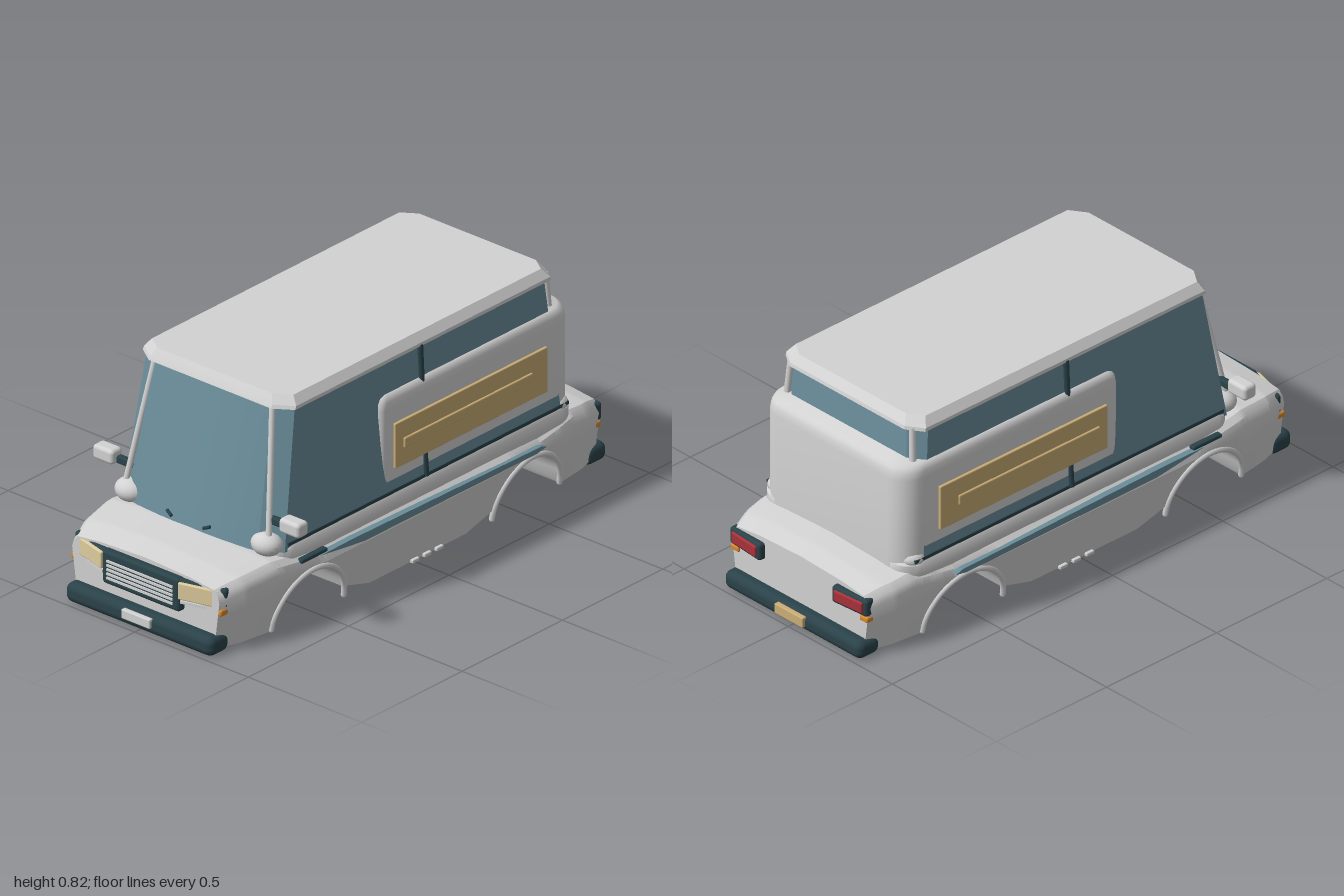
import * as THREE from 'three';
import { toCreasedNormals } from 'three/addons/utils/BufferGeometryUtils.js';
import { RoundedBoxGeometry } from 'three/addons/geometries/RoundedBoxGeometry.js';

const mat = (name, color) => {
  const m = new THREE.MeshStandardMaterial({ color });
  m.name = name;
  return m;
};
const V = (x, y, z) => new THREE.Vector3(x, y, z);

// Linear interpolation through a small table of [z, value] pairs
function lookup(table, z) {
  for (let i = 1; i < table.length; i++) {
    const [a, p] = table[i - 1], [b, q] = table[i];
    if (z <= b) return p + (q - p) * Math.max(0, (z - a) / (b - a));
  }
  return table[table.length - 1][1];
}

// Skin a closed, capped solid over rings that run counter-clockwise about the direction of travel
function loft(rings, crease = 0.5) {
  const n = rings[0].length, pos = rings.flat().flatMap(p => [p.x, p.y, p.z]), idx = [];
  for (let i = 0; i < rings.length - 1; i++) {
    for (let j = 0; j < n; j++) {
      const a = i * n + j, b = i * n + (j + 1) % n;
      idx.push(a, b, b + n, a, b + n, a + n);
    }
  }
  [0, rings.length - 1].forEach((r, end) => {
    const c = V(0, 0, 0);
    rings[r].forEach(p => c.addScaledVector(p, 1 / n));
    const k = pos.length / 3;
    pos.push(c.x, c.y, c.z);
    for (let j = 0; j < n; j++) {
      const a = r * n + j, b = r * n + (j + 1) % n;
      if (end) idx.push(k, a, b); else idx.push(k, b, a);
    }
  });
  const g = new THREE.BufferGeometry();
  g.setAttribute('position', new THREE.Float32BufferAttribute(pos, 3));
  g.setIndex(idx);
  return toCreasedNormals(g, crease);
}

// Horizontal outline with rounded (or chamfered, n = 1) corners and an optional bowed front
function plan(y, hw, zf, zb, [fx, fz], [bx, bz], n = 1, bow = 0) {
  const pts = [];
  const corner = (sx, front, a0) => {
    const rx = front ? fx : bx, rz = front ? fz : bz;
    const cx = sx * (hw - rx), cz = front ? zf - rz : zb + rz;
    for (let i = 0; i <= n; i++) {
      const a = a0 + (i / n) * Math.PI / 2;
      pts.push(V(cx + rx * Math.cos(a), y, cz - rz * Math.sin(a)));
    }
  };
  corner(1, false, 0);
  corner(-1, false, Math.PI / 2);
  corner(-1, true, Math.PI);
  for (let i = 1; i < 8; i++) {
    const t = i / 4 - 1;
    pts.push(V(t * (hw - fx), y, zf + bow * (1 - t * t)));
  }
  corner(1, true, Math.PI * 1.5);
  return pts;
}

// Lower body: plan width, top height and arched underside along z
const WIDTH = [[-0.945, 0.33], [-0.85, 0.36], [-0.7, 0.378], [-0.4, 0.39], [0.4, 0.39], [0.7, 0.385], [0.85, 0.36], [0.945, 0.325]];
const TOP = [[-0.945, 0.245], [-0.88, 0.265], [-0.78, 0.28], [-0.6, 0.255], [0.5, 0.255], [0.72, 0.287], [0.86, 0.272], [0.945, 0.25]];
const ARCH = 0.545, ARCH_R = 0.17;
const flare = y => 0.92 + 0.08 * Math.min(1, y / 0.2);
function underside(z) {
  const a = Math.abs(z), d = (a - ARCH) / ARCH_R;
  const sill = a < ARCH ? 0.02 + 0.04 * THREE.MathUtils.clamp((a - 0.24) / 0.13, 0, 1) : 0.02;
  return Math.abs(d) < 1 ? Math.max(sill, 0.02 + 0.17 * Math.sqrt(1 - d * d)) : sill;
}
function bodySection(z) {
  const w = lookup(WIDTH, z), t = lookup(TOP, z), b = underside(z), s = Math.max(b + 0.006, t - 0.055);
  const half = [0, 0.33, 0.67, 1].map(k => b + (s - b) * k).map(y => [flare(y), y]);
  half.push([0.975, t - 0.03], [0.92, t - 0.012], [0.6, t]);
  const side = half.map(([k, y]) => V(k * w, y, z));
  return [V(0, b, z), ...side, V(0, t + 0.008, z), ...side.map(p => V(-p.x, p.y, z)).reverse()];
}

export function createModel() {
  const root = new THREE.Group();
  root.name = 'van';
  const white = mat('white paint', 0xd2d2d2), glass = mat('blue glass', 0x6a8d9a), dark = mat('dark trim', 0x2a4249);
  const tan = mat('tan panel', 0xcbae76), cream = mat('headlamp cream', 0xdccb9c);
  const red = mat('tail red', 0xa8323a), orange = mat('indicator orange', 0xdb8a2c);

  const add = (name, geo, m, x = 0, y = 0, z = 0, ry = 0) => {
    const mesh = new THREE.Mesh(geo, m);
    mesh.name = name;
    mesh.position.set(x, y, z);
    mesh.rotation.y = ry;
    root.add(mesh);
    return mesh;
  };
  const box = (w, h, d, r = 0) => r ? new RoundedBoxGeometry(w, h, d, 3, r) : new THREE.BoxGeometry(w, h, d);
  const bar = (name, p, q, r, m) => {
    const mesh = add(name, new THREE.CylinderGeometry(r, r, p.distanceTo(q), 10), m);
    mesh.position.copy(p).add(q).multiplyScalar(0.5);
    mesh.quaternion.setFromUnitVectors(V(0, 1, 0), q.clone().sub(p).normalize());
  };

  // Lower body and belt
  const N = 180;
  add('lowerBody', loft(Array.from({ length: N + 1 }, (_, i) => bodySection(-0.945 + 1.89 * i / N))), white);
  add('beltLine', loft([
    plan(0.23, 0.358, 0.67, -0.795, [0.06, 0.06], [0.08, 0.08], 5),
    plan(0.255, 0.364, 0.675, -0.8, [0.06, 0.06], [0.08, 0.08], 5),
    plan(0.292, 0.363, 0.675, -0.8, [0.06, 0.06], [0.08, 0.08], 5),
    plan(0.31, 0.348, 0.66, -0.785, [0.06, 0.06], [0.08, 0.08], 5)], 0.8), white);

  // Cabin glass, roof and the white rear shell that pushes through the sloping glass
  add('cabinGlass', loft([
    plan(0.285, 0.356, 0.705, -0.762, [0.075, 0.05], [0.05, 0.04], 1, 0.03),
    plan(0.785, 0.325, 0.61, -0.712, [0.065, 0.04], [0.06, 0.04], 1, 0.012)], 0.3), glass);
  add('roof', loft([
    plan(0.778, 0.336, 0.625, -0.735, [0.066, 0.045], [0.06, 0.04]),
    plan(0.79, 0.335, 0.62, -0.732, [0.066, 0.045], [0.06, 0.04]),
    plan(0.82, 0.312, 0.602, -0.708, [0.06, 0.04], [0.055, 0.037])], 0.2), white);
  const shell = (y, k) => plan(y, 0.352 - k, 0.172 - k, -0.802 + k, [0.03, 0.03], [0.09, 0.09], 6);
  add('rearShell', loft([shell(0.27, 0), shell(0.615, 0), shell(0.64, 0.003), shell(0.655, 0.009), shell(0.664, 0.019)], 0.8), white);

  for (const s of [1, -1]) {
    // Pillars and corner fairings
    bar('frontPillar', V(s * 0.316, 0.33, 0.69), V(s * 0.258, 0.782, 0.606), 0.011, white);
    bar('rearPillar', V(s * 0.305, 0.62, -0.722), V(s * 0.292, 0.785, -0.712), 0.012, white);
    add('cornerFairing', new THREE.SphereGeometry(1, 20, 12), white, s * 0.3, 0.312, 0.68).scale.set(0.058, 0.042, 0.05);
    add('rearFairing', new THREE.SphereGeometry(1, 16, 10), white, s * 0.32, 0.305, -0.735).scale.set(0.04, 0.03, 0.045);
    bar('upperWindowStrip', V(s * 0.335, 0.645, -0.05), V(s * 0.328, 0.782, -0.05), 0.011, dark);
    bar('lowerWindowStrip', V(s * 0.356, 0.305, -0.05), V(s * 0.35, 0.39, -0.05), 0.01, dark);
    add('windowSeal', box(0.012, 0.012, 1.4), dark, s * 0.352, 0.308, -0.06);

    // Side panel with raised bar
    add('sidePanel', box(0.016, 0.166, 0.76, 0.004), tan, s * 0.354, 0.473, -0.27);
    add('sidePanelBar', box(0.014, 0.038, 0.64, 0.005), tan, s * 0.362, 0.473, -0.25);

    // Mirrors
    add('mirrorArm', box(0.09, 0.027, 0.025, 0.006), dark, s * 0.345, 0.397, 0.665);
    add('mirror', box(0.09, 0.054, 0.055, 0.014), white, s * 0.41, 0.407, 0.672);

    // Side moulding and its front cap
    const strip = new THREE.Shape([[0.52, 0.236], [0.36, 0.238], [-0.58, 0.224], [-0.61, 0.214], [-0.56, 0.205], [0.3, 0.208]]
      .map(p => new THREE.Vector2(...p)));
    const stripGeo = new THREE.ExtrudeGeometry(strip, { depth: 0.024, bevelEnabled: false }).rotateY(-Math.PI / 2);
    add('sideMoulding', stripGeo, glass, s > 0 ? 0.394 : -0.37);
    add('sideHandle', box(0.025, 0.016, 0.13, 0.006), dark, s * 0.376, 0.241, 0.54);

    // Wheel arch lips
    for (const c of [ARCH, -ARCH]) {
      const pts = Array.from({ length: 17 }, (_, i) => {
        const a = Math.PI * i / 16, y = 0.025 + 0.17 * Math.sin(a), z = c + 0.176 * Math.cos(a);
        return V(s * lookup(WIDTH, z) * flare(y), y, z);
      });
      add('archLip', new THREE.TubeGeometry(new THREE.CatmullRomCurve3(pts), 40, 0.01, 8), white);
      for (const p of [pts[0], pts[16]]) add('archLipEnd', new THREE.SphereGeometry(0.01, 8, 6), white, p.x, p.y, p.z);
    }
    for (const z of [0.02, -0.04, -0.1]) add('sillVent', box(0.02, 0.014, 0.035, 0.004), white, s * 0.365, 0.023, z);

    // Front lamps
    add('headlampHousing', box(0.185, 0.07, 0.05, 0.012), dark, s * 0.24, 0.205, 0.924, s * 0.27);
    add('headlamp', box(0.15, 0.062, 0.025, 0.005), cream, s * 0.238, 0.203, 0.947, s * 0.27);
    add('headlampTrim', box(0.15, 0.01, 0.03), white, s * 0.24, 0.16, 0.935, s * 0.27);
    add('frontIndicator', box(0.038, 0.024, 0.04, 0.008), orange, s * 0.313, 0.158, 0.925);

    // Tail lamps
    add('tailLampHousing', box(0.16, 0.065, 0.05, 0.012), dark, s * 0.25, 0.195, -0.938, -s * 0.08);
    add('tailLamp', box(0.128, 0.042, 0.02, 0.006), red, s * 0.25, 0.196, -0.96, -s * 0.08);
    add('rearIndicator', box(0.04, 0.022, 0.03, 0.007), orange, s * 0.31, 0.15, -0.938);

    // Wipers
    bar('wiper', V(s * 0.07, 0.312, 0.738), V(s * 0.095, 0.323, 0.732), 0.006, dark);
  }

  // Grille
  add('grille', box(0.34, 0.122, 0.06, 0.012), dark, 0, 0.181, 0.943);
  for (let i = 0; i < 5; i++) add('grilleBar', box(0.29, 0.008, 0.012), white, 0, 0.147 + i * 0.0155, 0.972);

  // Bumpers and plates
  add('frontBumper', box(0.65, 0.072, 0.1, 0.028), dark, 0, 0.04, 0.938);
  add('rearBumper', box(0.66, 0.068, 0.1, 0.028), dark, 0, 0.038, -0.938);
  add('frontPlate', box(0.126, 0.034, 0.02, 0.004), white, 0, 0.05, 0.988);
  add('rearPlate', box(0.136, 0.038, 0.02, 0.004), tan, 0, 0.045, -0.99);
  return root;
}
